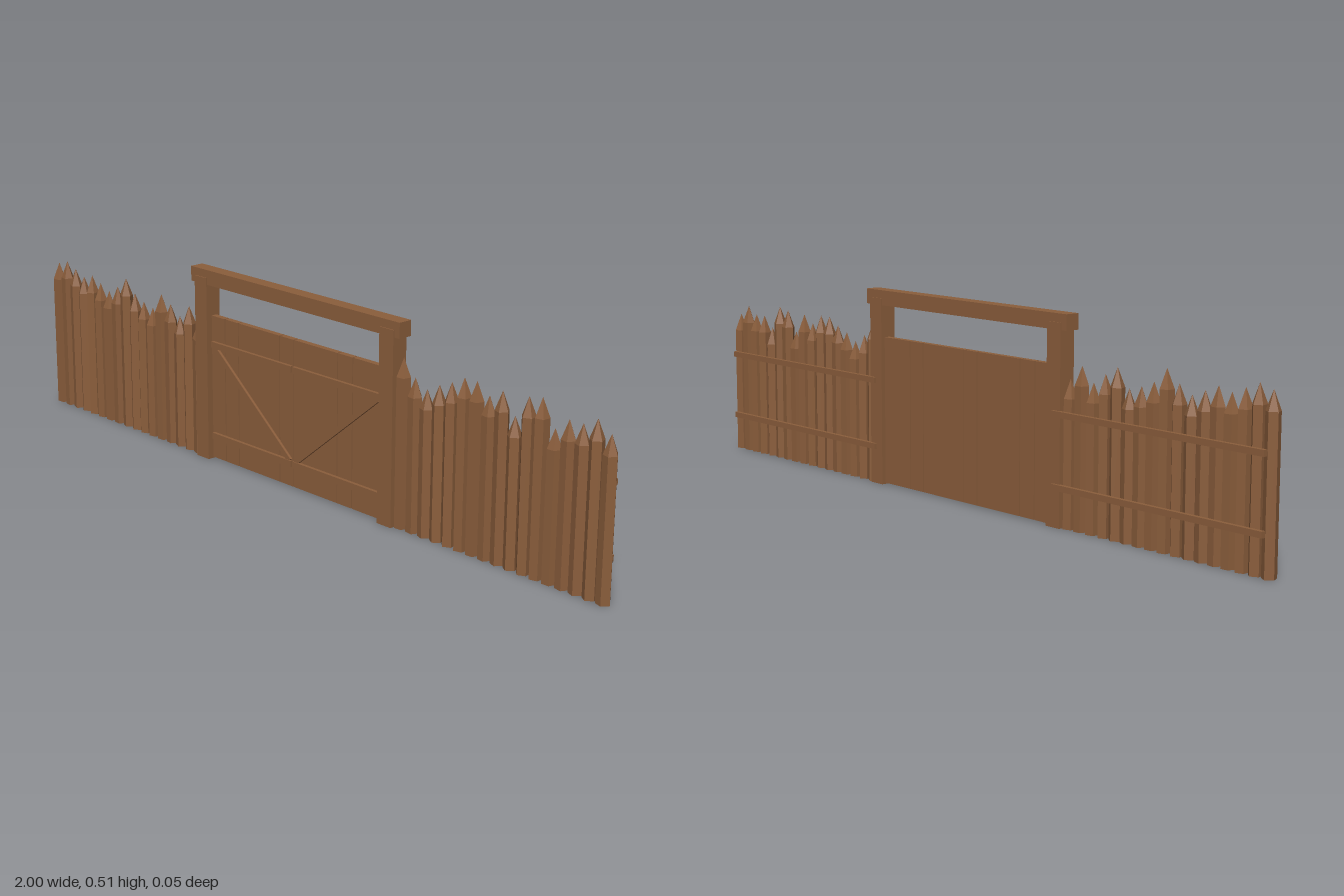
import * as THREE from 'three';
import { mergeGeometries } from 'three/addons/utils/BufferGeometryUtils.js';

const wood = new THREE.MeshStandardMaterial({ color: 0x8b5e3c });
wood.name = 'brown wood';

// Box given by its min and max on each axis
function box(name, x0, x1, y0, y1, z0, z1) {
  const mesh = new THREE.Mesh(new THREE.BoxGeometry(x1 - x0, y1 - y0, z1 - z0), wood);
  mesh.position.set((x0 + x1) / 2, (y0 + y1) / 2, (z0 + z1) / 2);
  mesh.name = name;
  return mesh;
}

// Five-sided pointed stake
function stake(height, turn) {
  const r = 0.018, tip = 0.047;
  const shaft = new THREE.CylinderGeometry(r, r, height - tip, 5).toNonIndexed();
  shaft.translate(0, (height - tip) / 2, 0);
  const point = new THREE.ConeGeometry(r, tip, 5, 1, true).toNonIndexed();
  point.translate(0, height - tip / 2, 0);
  const geometry = mergeGeometries([shaft, point]);
  geometry.computeVertexNormals();
  geometry.rotateY(turn);
  const mesh = new THREE.Mesh(geometry, wood);
  mesh.name = 'stake';
  return mesh;
}

export function createModel() {
  const model = new THREE.Group();
  model.name = 'palisadeGate';

  // Palisade stakes, from the outer end on the right side, then from the gate on the left
  const rightHeights = [0.41, 0.42, 0.405, 0.39, 0.4, 0.385, 0.37, 0.39, 0.42, 0.385, 0.37, 0.36, 0.405, 0.385, 0.36, 0.395, 0.36];
  const leftHeights = [0.425, 0.385, 0.365, 0.385, 0.4, 0.42, 0.42, 0.395, 0.415, 0.365, 0.42, 0.427, 0.365, 0.395, 0.395, 0.415, 0.39];
  const addStakes = (heights, startX, name) => {
    const group = new THREE.Group();
    group.name = name;
    heights.forEach((h, i) => {
      const turn = i === heights.length - 1 ? Math.PI / 2 : (i * 2.3 + 0.7) % (Math.PI * 0.4);
      const s = stake(h, turn);
      s.position.set(startX + i * 0.0381, 0, 0.003);
      group.add(s);
    });
    model.add(group);
  };
  addStakes(rightHeights, -0.982, 'rightPalisade');
  addStakes(leftHeights, 0.372, 'leftPalisade');

  // Posts and the rails behind the stakes
  for (const side of [-1, 1]) {
    const post = box('gatePost', 0.312, 0.358, 0, 0.492, -0.018, 0.026);
    const low = box('lowerRail', 0.335, 0.982, 0.092, 0.107, -0.025, -0.014);
    const high = box('upperRail', 0.335, 0.982, 0.268, 0.283, -0.025, -0.014);
    for (const part of [post, low, high]) {
      part.position.x *= side;
      model.add(part);
    }
  }

  // Lintel
  model.add(box('lintel', -0.375, 0.375, 0.474, 0.513, -0.015, 0.023));

  // Gate planks; some seams are open
  const step = 0.312 / 6;
  const openSeams = [-5, -4, -1, 0, 3, 4];
  for (let i = -6; i < 6; i++) {
    const x0 = i * step + (openSeams.includes(i) ? 0.0015 : 0);
    const x1 = (i + 1) * step - (openSeams.includes(i + 1) ? 0.0015 : 0);
    model.add(box('gatePlank', x0, x1, 0.003, 0.39, -0.007, 0.009));
  }

  // Ledges and diagonal braces on the front of both leaves
  for (const side of [-1, 1]) {
    const low = box('lowerLedge', 0.003, 0.305, 0.057, 0.074, 0.008, 0.018);
    const high = box('upperLedge', 0.003, 0.305, 0.306, 0.323, 0.008, 0.018);
    low.position.x *= side;
    high.position.x *= side;
    const dx = 0.288, dy = 0.236;
    const brace = new THREE.Mesh(new THREE.BoxGeometry(Math.hypot(dx, dy), 0.014, 0.008), wood);
    brace.name = 'diagonalBrace';
    brace.position.set(side * 0.154, 0.19, 0.012);
    brace.rotation.z = side * Math.atan2(dy, dx);
    model.add(low, high, brace);
  }
  return model;
}
